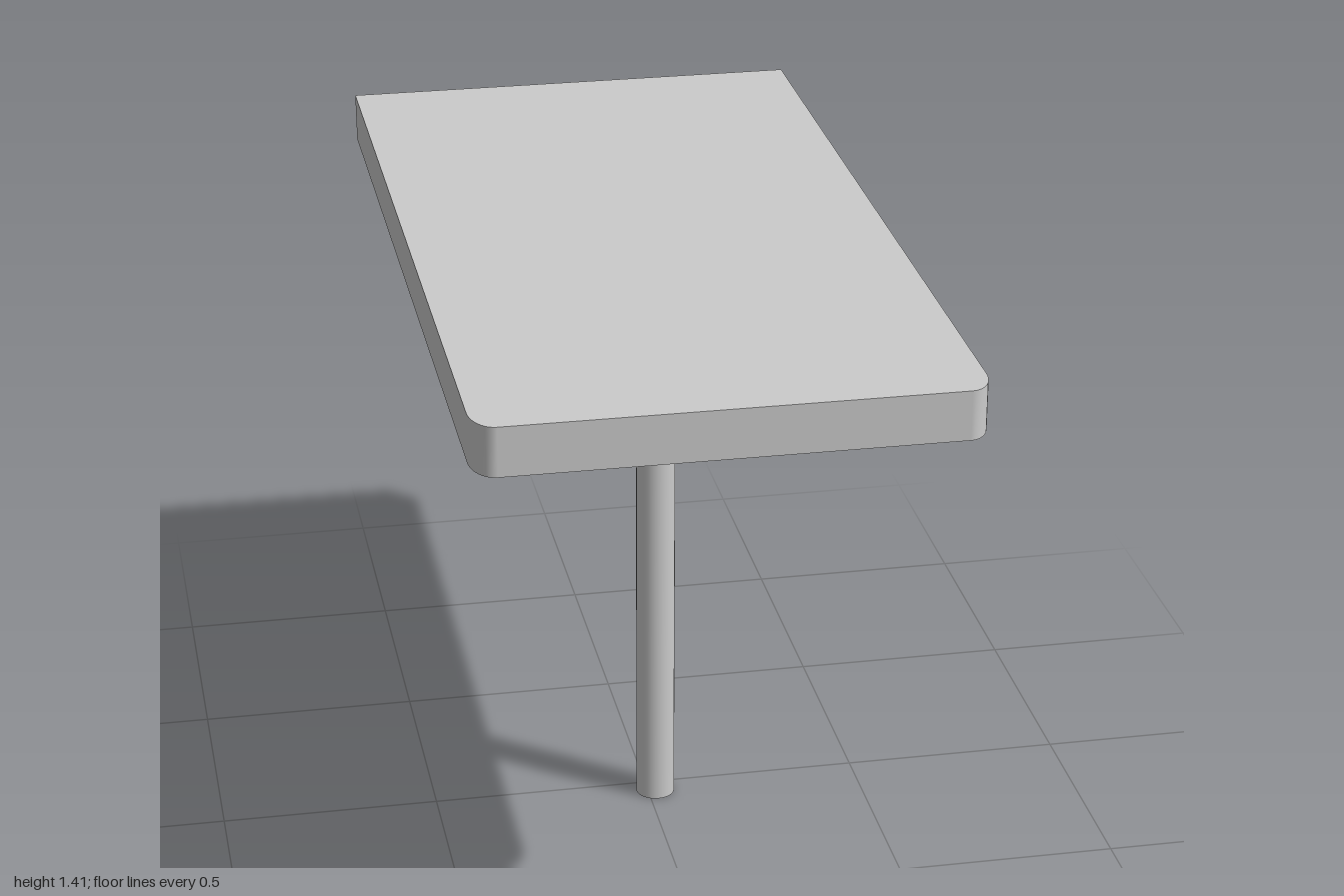
import * as THREE from 'three';

const TOP = 1.412, BOTTOM = 1.303, HALF_W = 0.53, FRONT = 1;
const BACK_TOP = -1, BACK_BOTTOM = -0.99;
const CORNER_X = 0.05, CORNER_Z = 0.08;

// Plan outline as (x, z) points: back right, around the rounded front, back left
function outline(back) {
  const pts = [new THREE.Vector2(HALF_W, back)];
  for (const side of [1, -1]) {
    for (let i = 0; i <= 10; i++) {
      const t = (side > 0 ? i : 10 - i) / 10 * Math.PI / 2;
      pts.push(new THREE.Vector2(
        side * (HALF_W - CORNER_X + CORNER_X * Math.cos(t)),
        FRONT - CORNER_Z + CORNER_Z * Math.sin(t)));
    }
  }
  pts.push(new THREE.Vector2(-HALF_W, back));
  return pts;
}

// Flat sheet facing up or down
function sheet(back, y, up) {
  const pts = outline(back);
  if (up) pts.forEach((p) => { p.y = -p.y; });
  const geo = new THREE.ShapeGeometry(new THREE.Shape(pts));
  geo.rotateX(up ? -Math.PI / 2 : Math.PI / 2);
  return geo.translate(0, y, 0);
}

// Side wall running round three sides, open at the back
function rim() {
  const low = outline(BACK_BOTTOM), high = outline(BACK_TOP);
  const pos = [], index = [];
  low.forEach((p, i) => {
    pos.push(p.x, BOTTOM, p.y, high[i].x, TOP, high[i].y);
    if (i < low.length - 1) {
      const a = i * 2;
      index.push(a, a + 1, a + 2, a + 1, a + 3, a + 2);
    }
  });
  const geo = new THREE.BufferGeometry();
  geo.setAttribute('position', new THREE.Float32BufferAttribute(pos, 3));
  geo.setIndex(index);
  geo.computeVertexNormals();
  return geo;
}

export function createModel() {
  const model = new THREE.Group();
  const mat = new THREE.MeshStandardMaterial({ color: 0xcccccc, side: THREE.DoubleSide });
  const add = (name, geo, parent) => {
    const mesh = new THREE.Mesh(geo, mat);
    mesh.name = name;
    parent.add(mesh);
    return mesh;
  };

  // Hollow slab, open at the back
  const slab = new THREE.Group();
  slab.name = 'tabletop';
  model.add(slab);
  add('topPanel', sheet(BACK_TOP, TOP, true), slab);
  add('bottomPanel', sheet(BACK_BOTTOM, BOTTOM, false), slab);
  add('rim', rim(), slab);

  // Slightly off-centre hollow post
  add('post', new THREE.CylinderGeometry(0.0445, 0.0445, BOTTOM, 32, 1, true), model)
    .position.set(0.018, BOTTOM / 2, 0.038);

  return model;
}
